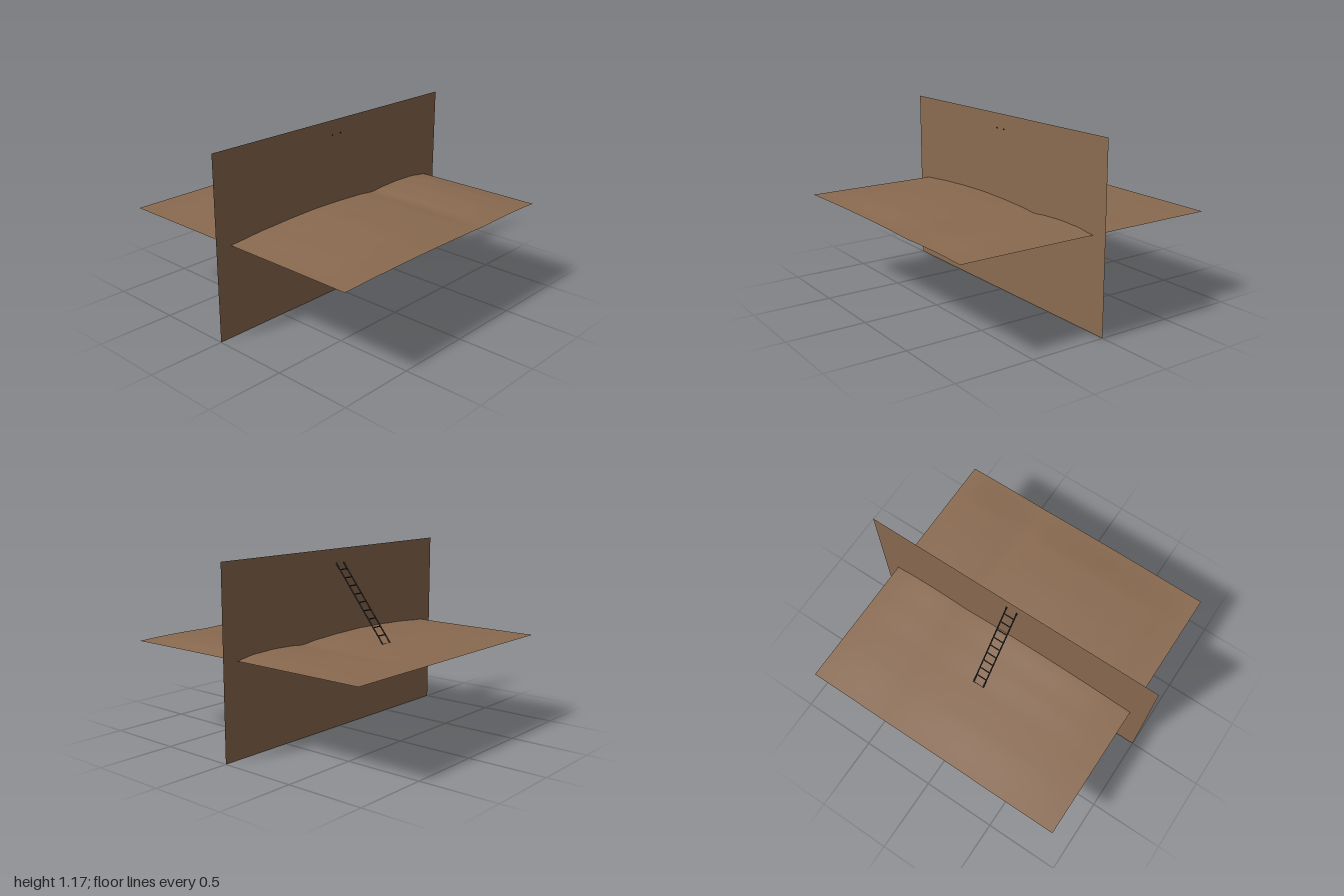
import * as THREE from 'three';

const earth = new THREE.MeshStandardMaterial({ color: 0x8a6a50, side: THREE.DoubleSide });
earth.name = 'earth brown';
const iron = new THREE.MeshStandardMaterial({ color: 0x222222 });
iron.name = 'dark iron';

// smooth interpolation through [position, value] points
function profile(points, t) {
  if (t <= points[0][0]) return points[0][1];
  for (let i = 1; i < points.length; i++) {
    const [a, va] = points[i - 1], [b, vb] = points[i];
    if (t <= b) return THREE.MathUtils.lerp(va, vb, THREE.MathUtils.smoothstep(t, a, b) * 0.5 + (t - a) / (b - a) * 0.5);
  }
  return points[points.length - 1][1];
}

// bump height across the ground, and its fade from back to front
const acrossX = [[-0.895, 0.002], [-0.6, 0.026], [-0.4, 0.036], [-0.2, 0.041], [0, 0.036],
  [0.2, 0.026], [0.35, 0.01], [0.45, 0.021], [0.6, 0.027], [0.75, 0.022], [0.895, 0.002]];
const alongZ = [[-0.895, 0.03], [-0.6, 0.3], [-0.4, 0.38], [-0.2, 0.6], [0, 0.88],
  [0.2, 1], [0.4, 1], [0.65, 0.85], [0.895, 0.25]];

function bar(name, a, b, radius) {
  const mesh = new THREE.Mesh(new THREE.CylinderGeometry(radius, radius, a.distanceTo(b), 8), iron);
  mesh.position.copy(a).lerp(b, 0.5);
  mesh.quaternion.setFromUnitVectors(new THREE.Vector3(0, 1, 0), b.clone().sub(a).normalize());
  mesh.name = name;
  return mesh;
}

export function createModel() {
  const model = new THREE.Group();
  model.name = 'wallGroundAndLadder';

  // upright wall sheet
  const wall = new THREE.Mesh(new THREE.PlaneGeometry(2, 1.166), earth);
  wall.position.y = 0.583;
  wall.name = 'wall';
  model.add(wall);

  // gently uneven ground sheet passing through the wall
  const groundGeometry = new THREE.PlaneGeometry(1.79, 1.79, 48, 48).rotateX(-Math.PI / 2);
  const p = groundGeometry.attributes.position;
  for (let i = 0; i < p.count; i++) {
    p.setY(i, 0.588 + profile(acrossX, p.getX(i)) * profile(alongZ, p.getZ(i)));
  }
  groundGeometry.computeVertexNormals();
  const ground = new THREE.Mesh(groundGeometry, earth);
  ground.name = 'ground';
  model.add(ground);

  // ladder leaning on the back of the wall
  const ladder = new THREE.Group();
  ladder.name = 'ladder';
  const left = 0.029, right = -0.043;
  const top = new THREE.Vector3(0, 1.074, 0.001);
  const foot = new THREE.Vector3(0, 0.578, -0.395);
  for (const x of [left, right]) {
    ladder.add(bar('ladderRail', foot.clone().setX(x), top.clone().setX(x), 0.0045));
  }
  for (let i = 0; i < 10; i++) {
    const at = foot.clone().lerp(top, (0.017 + i * 0.0386) / 0.396);
    ladder.add(bar('ladderRung', at.clone().setX(right), at.clone().setX(left), 0.004));
  }
  model.add(ladder);
  return model;
}
